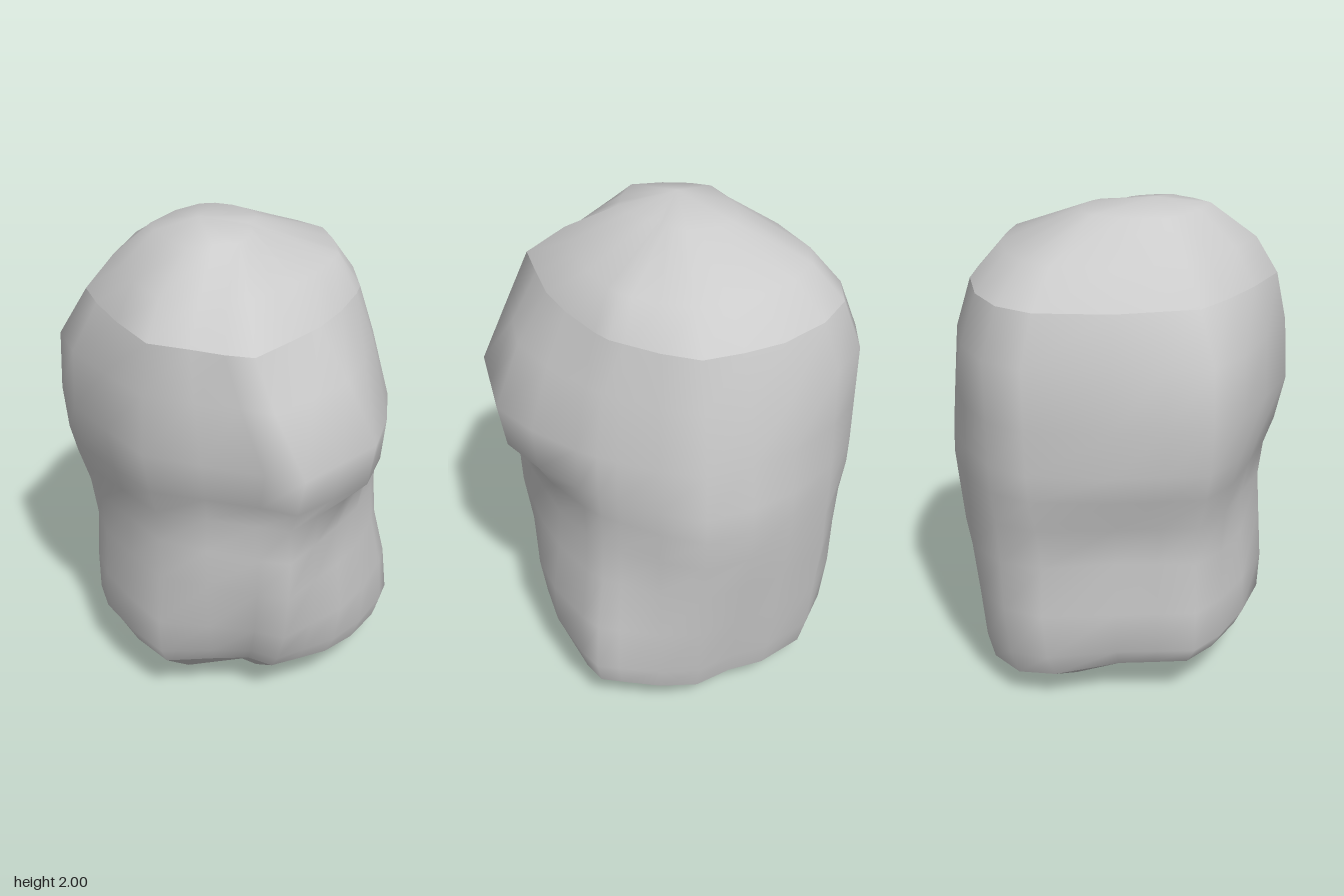
import * as THREE from 'three';

// Widest outline of the boulder as [x, z], going from +x round through +z
const OUTLINE = [
  [0.62, 0], [0.615, 0.09], [0.57, 0.3], [0.49, 0.5], [0.34, 0.62], [0.19, 0.74], [0.05, 0.68],
  [-0.17, 0.585], [-0.38, 0.49], [-0.51, 0.28], [-0.63, 0.08], [-0.68, -0.1], [-0.59, -0.25],
  [-0.49, -0.42], [-0.29, -0.67], [-0.13, -0.74], [0.07, -0.73], [0.3, -0.66], [0.45, -0.56],
  [0.59, -0.43], [0.62, -0.25], [0.62, -0.08],
];

// Reach of that outline in eight directions, 45 degrees apart, starting at +x
const REACH = [0.62, 0.7, 0.74, 0.615, 0.68, 0.68, 0.74, 0.72];

// Reach at each height: y, then the same eight directions
const BASE_RIM = [0.18, 0.65, 0.51, 0.42, 0.53, 0.52, 0.46, 0.66, 0.56];
const TOP_RIM = [1.69, 0.50, 0.52, 0.63, 0.57, 0.55, 0.61, 0.67, 0.60];
const UNDERSIDE = [
  [0.02, 0.34, 0.17, 0.06, 0.09, 0.10, 0.15, 0.36, 0.34],
  [0.08, 0.52, 0.34, 0.26, 0.37, 0.32, 0.29, 0.54, 0.47],
  BASE_RIM,
];
const SIDES = [
  BASE_RIM,
  [0.27, 0.68, 0.55, 0.48, 0.56, 0.58, 0.53, 0.69, 0.59],
  [0.45, 0.66, 0.575, 0.57, 0.555, 0.575, 0.565, 0.71, 0.62],
  [0.66, 0.61, 0.55, 0.63, 0.53, 0.57, 0.53, 0.73, 0.67],
  [0.83, 0.60, 0.535, 0.65, 0.515, 0.59, 0.58, 0.73, 0.70],
  [0.97, 0.60, 0.57, 0.62, 0.54, 0.63, 0.65, 0.735, 0.72],
  [1.08, 0.62, 0.67, 0.66, 0.58, 0.66, 0.67, 0.735, 0.715],
  [1.26, 0.62, 0.70, 0.74, 0.615, 0.68, 0.68, 0.735, 0.69],
  [1.50, 0.56, 0.63, 0.67, 0.61, 0.67, 0.68, 0.74, 0.65],
  TOP_RIM,
];
const CROWN = [
  TOP_RIM,
  [1.83, 0.41, 0.39, 0.44, 0.50, 0.44, 0.50, 0.54, 0.48],
  [1.96, 0.05, 0.12, 0.24, 0.32, 0.31, 0.28, 0.23, 0.14],
];

// Scale the outline to one height, blending between neighbouring directions
function ring([y, ...reach]) {
  // The front ridge swings to the right near the top; the base rim rises at the front
  const lean = 0.22 * THREE.MathUtils.smoothstep(y, 1.26, 1.69);
  const tilt = Math.max(0, 1 - Math.abs(y - 0.18) / 0.2);
  return OUTLINE.map(([x, z]) => {
    const turn = ((Math.atan2(z, x) / (Math.PI / 4)) + 8) % 8;
    const k = Math.floor(turn);
    const n = (k + 1) % 8;
    const s = THREE.MathUtils.lerp(reach[k] / REACH[k], reach[n] / REACH[n], turn - k);
    const px = x * s;
    const pz = z * s;
    const front = Math.max(0, pz) * THREE.MathUtils.smoothstep(x, -0.4, 0.1);
    return [px - lean * front, y + tilt * (0.09 * pz - 0.04 * px), pz];
  });
}

// Join the rings from bottom to top; a start or end point closes the shell
function shell(name, rows, material, { start, end } = {}) {
  const n = OUTLINE.length;
  const points = rows.map(ring).flat();
  const index = [];
  for (let i = 0; i < rows.length - 1; i++) {
    for (let j = 0; j < n; j++) {
      const a = i * n + j;
      const b = i * n + (j + 1) % n;
      index.push(a, a + n, b, b, a + n, b + n);
    }
  }
  if (start) {
    points.push(start);
    for (let j = 0; j < n; j++) index.push(points.length - 1, j, (j + 1) % n);
  }
  if (end) {
    points.push(end);
    const o = (rows.length - 1) * n;
    for (let j = 0; j < n; j++) index.push(points.length - 1, o + (j + 1) % n, o + j);
  }
  const geometry = new THREE.BufferGeometry();
  geometry.setAttribute('position', new THREE.Float32BufferAttribute(points.flat(), 3));
  geometry.setIndex(index);
  geometry.computeVertexNormals();
  const mesh = new THREE.Mesh(geometry, material);
  mesh.name = name;
  return mesh;
}

export function createModel() {
  const stone = new THREE.MeshStandardMaterial({ color: 0xcccccc });
  const boulder = new THREE.Group();
  boulder.name = 'boulder';
  // Separate shells keep a hard edge around the top and the underside
  boulder.add(
    shell('underside', UNDERSIDE, stone, { start: [0.1, 0, -0.2] }),
    shell('sides', SIDES, stone),
    shell('crown', CROWN, stone, { end: [-0.13, 2, 0.02] }),
  );
  return boulder;
}
